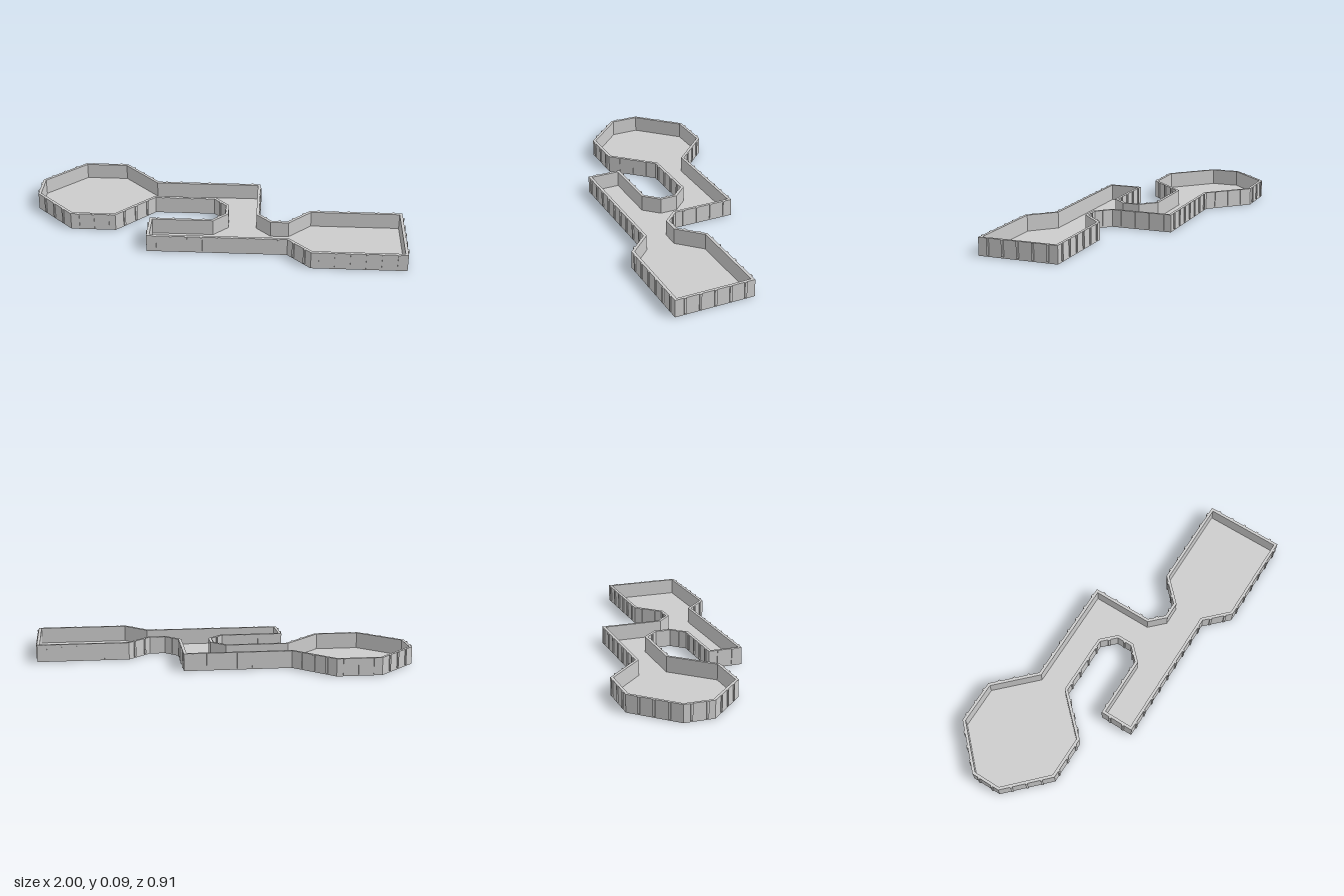
import * as THREE from 'three';

// Outer outline as [x, z]
const OUTLINE = [
  [-0.78, -0.453], [-0.54, -0.453], [-0.343, -0.255], [0.228, -0.255],
  [0.228, 0.075], [0.297, 0.145], [0.38, 0.145], [0.5, 0.027],
  [0.993, 0.027], [0.993, 0.45], [0.5, 0.45], [0.38, 0.33],
  [-0.353, 0.33], [-0.353, 0.145], [-0.02, 0.145], [0.048, 0.077],
  [0.048, -0.005], [-0.02, -0.075], [-0.343, -0.075], [-0.54, 0.127],
  [-0.78, 0.127], [-0.993, -0.082], [-0.993, -0.243],
].map(([x, z]) => new THREE.Vector2(x, z));

const HEIGHT = 0.093, FLOOR = 0.008, WALL = 0.015;
const RIB_STEP = 0.08, RIB_WIDTH = 0.012, RIB_OUT = 0.006;

const normalOf = (a, b) => new THREE.Vector2(b.y - a.y, a.x - b.x).normalize();

// Mitred inset of a closed outline
function inset(points, d) {
  const n = points.length;
  return points.map((p, i) => {
    const n1 = normalOf(points[(i + n - 1) % n], p);
    const n2 = normalOf(p, points[(i + 1) % n]);
    const m = n1.clone().add(n2);
    return p.clone().addScaledVector(m, -d / (1 + n1.dot(n2)));
  });
}

// Horizontal slab between two heights
function slab(shape, y0, y1) {
  const g = new THREE.ExtrudeGeometry(shape, { depth: y1 - y0, bevelEnabled: false });
  return g.rotateX(Math.PI / 2).translate(0, y1, 0);
}

export function createModel() {
  const group = new THREE.Group();
  const material = new THREE.MeshStandardMaterial({ color: 0xcccccc, flatShading: true });
  const add = (parent, name, geometry) => {
    const mesh = new THREE.Mesh(geometry, material);
    mesh.name = name;
    parent.add(mesh);
    return mesh;
  };

  // Floor plate
  add(group, 'floor', slab(new THREE.Shape(OUTLINE), 0, FLOOR));

  // Perimeter wall
  const ring = new THREE.Shape(OUTLINE);
  ring.holes.push(new THREE.Path(inset(OUTLINE, WALL)));
  add(group, 'wall', slab(ring, FLOOR, HEIGHT));

  // Evenly spaced ribs, centred along each outer wall face
  const ribs = new THREE.Group();
  ribs.name = 'ribs';
  group.add(ribs);
  const ribGeometry = new THREE.BoxGeometry(RIB_WIDTH, HEIGHT - FLOOR, RIB_OUT * 2);
  OUTLINE.forEach((a, i) => {
    const b = OUTLINE[(i + 1) % OUTLINE.length];
    const dir = b.clone().sub(a);
    const length = dir.length();
    dir.normalize();
    const count = Math.floor(length / RIB_STEP);
    for (let k = 0; k < count; k++) {
      const p = a.clone().addScaledVector(dir, length / 2 + (k - (count - 1) / 2) * RIB_STEP);
      const rib = add(ribs, 'rib', ribGeometry);
      rib.position.set(p.x, (HEIGHT + FLOOR) / 2, p.y);
      rib.rotation.y = -Math.atan2(dir.y, dir.x);
    }
  });

  return group;
}
